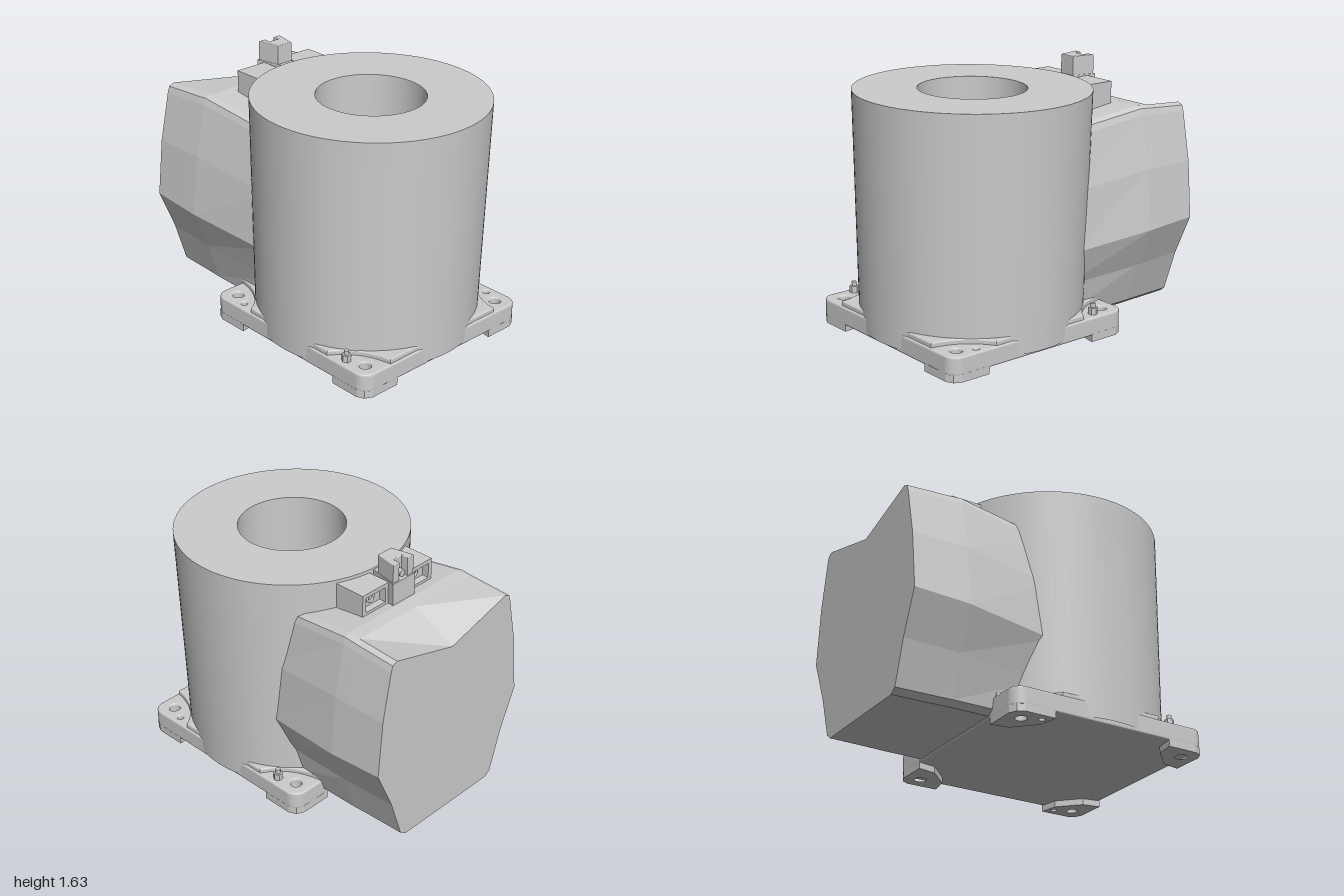
import * as THREE from 'three';

const mat = new THREE.MeshStandardMaterial({ color: 0xcccccc });
const flat = new THREE.MeshStandardMaterial({ color: 0xcccccc, flatShading: true });
const CX = 0.283; // axis of the cylinder and base

function add(parent, name, geo, material = mat) {
  const m = new THREE.Mesh(geo, material);
  m.name = name;
  parent.add(m);
  return m;
}

// extrude a plan outline upward from y0 to y1
function slab(shape, y0, y1, bevel = 0) {
  const g = new THREE.ExtrudeGeometry(shape, {
    depth: y1 - y0 - 2 * bevel, bevelEnabled: bevel > 0, bevelSize: bevel,
    bevelThickness: bevel, bevelOffset: -bevel, bevelSegments: 3, curveSegments: 16
  });
  g.rotateX(-Math.PI / 2);
  return g.translate(0, y0 + bevel, 0);
}

function circle(x, y, r) {
  return new THREE.Path().absarc(x, y, r, 0, Math.PI * 2, true);
}

const corners = [[1, 1], [1, -1], [-1, 1], [-1, -1]];
// small dowel holes sit in two opposite corners, studs in the other two (plan y = -z)
const hasStud = (sx, sy) => sx !== sy;
function holesAt(sx, sy) {
  const holes = [circle(sx * 0.565, sy * 0.565, 0.036)];
  if (!hasStud(sx, sy)) holes.push(circle(sx * 0.455, sy * 0.61, 0.02));
  return holes;
}

function buildBase() {
  const base = new THREE.Group();
  base.name = 'base';
  base.position.x = CX;
  const h = 0.667, r = 0.08;

  // main plate with bolt holes
  const plate = new THREE.Shape();
  plate.absarc(h - r, h - r, r, 0, Math.PI / 2);
  plate.absarc(r - h, h - r, r, Math.PI / 2, Math.PI);
  plate.absarc(r - h, r - h, r, Math.PI, 1.5 * Math.PI);
  plate.absarc(h - r, r - h, r, 1.5 * Math.PI, 2 * Math.PI);
  corners.forEach(([sx, sy]) => plate.holes.push(...holesAt(sx, sy)));
  add(base, 'basePlate', slab(plate, 0.04, 0.155, 0.012));

  // raised deck leaving a curved pocket at each corner
  const e = 0.655, deck = new THREE.Shape();
  deck.moveTo(e, -0.45);
  deck.lineTo(e, 0.45);
  deck.quadraticCurveTo(0.44, 0.48, 0.34, e);
  deck.lineTo(-0.34, e);
  deck.quadraticCurveTo(-0.44, 0.48, -e, 0.45);
  deck.lineTo(-e, -0.45);
  deck.quadraticCurveTo(-0.44, -0.48, -0.34, -e);
  deck.lineTo(0.34, -e);
  deck.quadraticCurveTo(0.44, -0.48, e, -0.45);
  add(base, 'baseDeck', slab(deck, 0.14, 0.185, 0.01));

  for (const [sx, sy] of corners) {
    // foot pad under the corner
    let pts = [[0.4, h], [0.42, 0.55], [0.55, 0.42], [h, 0.4], [h, 0.6], [0.645, 0.645], [0.6, h]];
    pts = pts.map(([x, y]) => new THREE.Vector2(x * sx, y * sy));
    const pad = new THREE.Shape(pts);
    pad.holes.push(...holesAt(sx, sy));
    add(base, 'footPad', slab(pad, 0, 0.05));
    if (hasStud(sx, sy)) {
      const stud = new THREE.Group();
      stud.name = 'stud';
      stud.position.set(sx * 0.455, 0, -sy * 0.61);
      add(stud, 'studNut', new THREE.CylinderGeometry(0.029, 0.029, 0.045, 6).translate(0, 0.175, 0), flat);
      add(stud, 'studNeck', new THREE.CylinderGeometry(0.013, 0.013, 0.03, 16).translate(0, 0.205, 0));
      add(stud, 'studHead', new THREE.CylinderGeometry(0.014, 0.02, 0.02, 16).translate(0, 0.217, 0));
    }
  }
  for (const [sx, sy] of corners.filter(([a, b]) => hasStud(a, b))) {
    const stud = new THREE.Group();
    stud.name = 'stud';
    stud.position.set(sx * 0.455, 0, -sy * 0.61);
    add(stud, 'studNut', new THREE.CylinderGeometry(0.029, 0.029, 0.045, 6).translate(0, 0.175, 0), flat);
    add(stud, 'studStem', new THREE.CylinderGeometry(0.015, 0.015, 0.06, 16).translate(0, 0.195, 0));
    base.add(stud);
  }
  return base;
}

// drafted cylinder with a blind bore; one lathe per wall keeps the rims sharp
function buildCylinder() {
  const g = new THREE.Group();
  g.name = 'cylinder';
  g.position.x = CX;
  const profile = [[0.689, 0.06], [0.718, 1.511], [0.33, 1.511], [0.33, 0.6], [0, 0.6]];
  const names = ['outerWall', 'topRim', 'boreWall', 'boreFloor'];
  names.forEach((n, i) => {
    const pts = [profile[i], profile[i + 1]].map(p => new THREE.Vector2(...p));
    add(g, n, new THREE.LatheGeometry(pts, 96));
  });
  return g;
}

// side housing lofted along x, with a valley in the top at its outer end
function buildHousing() {
  // x, top y, top half width, widest y, widest half width, bottom half width, valley depth
  const sections = [
    [-1, 1.335, 0.48, 0.615, 0.61, 0.41, 0.13],
    [-0.72, 1.353, 0.48, 0.6, 0.617, 0.42, 0],
    [-0.64, 1.36, 0.48, 0.595, 0.618, 0.425, 0],
    [-0.06, 1.29, 0.45, 0.55, 0.56, 0.43, 0]
  ];
  const rings = sections.map(([x, ty, tw, my, mw, bw, notch]) => {
    const half = [
      [bw - 0.04, 0.055], [bw, 0.085], [(bw + mw) / 2 - 0.015, (my + 0.085) / 2], [mw, my],
      [(tw + mw) / 2 + 0.03, (my + ty) / 2], [tw + 0.033, ty - 0.055], [tw + 0.02, ty - 0.015], [tw - 0.015, ty]
    ];
    const ring = [...half, [0, ty - notch], ...half.slice().reverse().map(([z, y]) => [-z, y])];
    return ring.map(([z, y]) => [x, y, z]);
  });
  const pos = [], n = rings[0].length;
  const tri = (...p) => p.forEach(v => pos.push(...v));
  for (let i = 0; i < n; i++) {
    const j = (i + 1) % n;
    for (let s = 0; s < rings.length - 1; s++) {
      const a = rings[s][i], b = rings[s][j], c = rings[s + 1][j], d = rings[s + 1][i];
      tri(a, d, c);
      tri(a, c, b);
    }
    tri([-1, 0.6, 0], rings[0][i], rings[0][j]);
  }
  const geo = new THREE.BufferGeometry();
  geo.setAttribute('position', new THREE.Float32BufferAttribute(pos, 3));
  geo.computeVertexNormals();
  return new THREE.Mesh(geo, flat);
}

function buildBrackets() {
  const g = new THREE.Group();
  g.name = 'topBrackets';
  // central wedge post; its upper half has a slot open to the outside
  const poly = pts => new THREE.Shape(pts.map(p => new THREE.Vector2(...p)));
  const lower = poly([[-0.628, -0.093], [-0.43, -0.045], [-0.43, 0.045], [-0.628, 0.093]]);
  const upper = poly([[-0.62, -0.085], [-0.475, -0.055], [-0.475, 0.055], [-0.62, 0.085],
    [-0.62, 0.035], [-0.575, 0.035], [-0.575, -0.035], [-0.62, -0.035]]);
  add(g, 'postBody', slab(lower, 1.33, 1.5));
  add(g, 'postFork', slab(upper, 1.49, 1.62, 0.005));
  const bolt = add(g, 'postBolt', new THREE.CylinderGeometry(0.022, 0.022, 0.05, 20));
  bolt.rotation.z = Math.PI / 2;
  bolt.position.set(-0.59, 1.53, 0);

  // side lugs: block with a recessed outer face and a screw hole
  for (const s of [-1, 1]) {
    const lug = new THREE.Group();
    lug.name = s > 0 ? 'frontLug' : 'rearLug';
    const z = s * 0.185;
    add(lug, 'lugBlock', new THREE.BoxGeometry(0.16, 0.165, 0.215).translate(-0.455, 1.4075, z));
    const face = new THREE.Shape();
    face.moveTo(-0.1075, 1.325).lineTo(0.1075, 1.325).lineTo(0.1075, 1.49).lineTo(-0.1075, 1.49);
    const recess = new THREE.Path();
    recess.moveTo(-0.08, 1.37).lineTo(-0.08, 1.465).lineTo(0.08, 1.465).lineTo(0.08, 1.37);
    face.holes.push(recess);
    const frame = new THREE.ExtrudeGeometry(face, { depth: 0.045, bevelEnabled: false });
    frame.rotateY(-Math.PI / 2).translate(-0.535, 0, z);
    add(lug, 'lugFrame', frame);
    const ring = add(lug, 'screwRing', new THREE.TorusGeometry(0.024, 0.008, 8, 24));
    ring.rotation.y = Math.PI / 2;
    ring.position.set(-0.537, 1.417, z);
    g.add(lug);
  }
  return g;
}

export function createModel() {
  const model = new THREE.Group();
  model.name = 'model';
  // the whole casting leans back slightly
  const body = new THREE.Group();
  body.name = 'casting';
  body.rotation.x = -0.0175;
  body.position.set(0, 0.012, 0.027);
  const housing = buildHousing();
  housing.name = 'sideHousing';
  body.add(buildBase(), buildCylinder(), housing, buildBrackets());
  model.add(body);
  return model;
}
